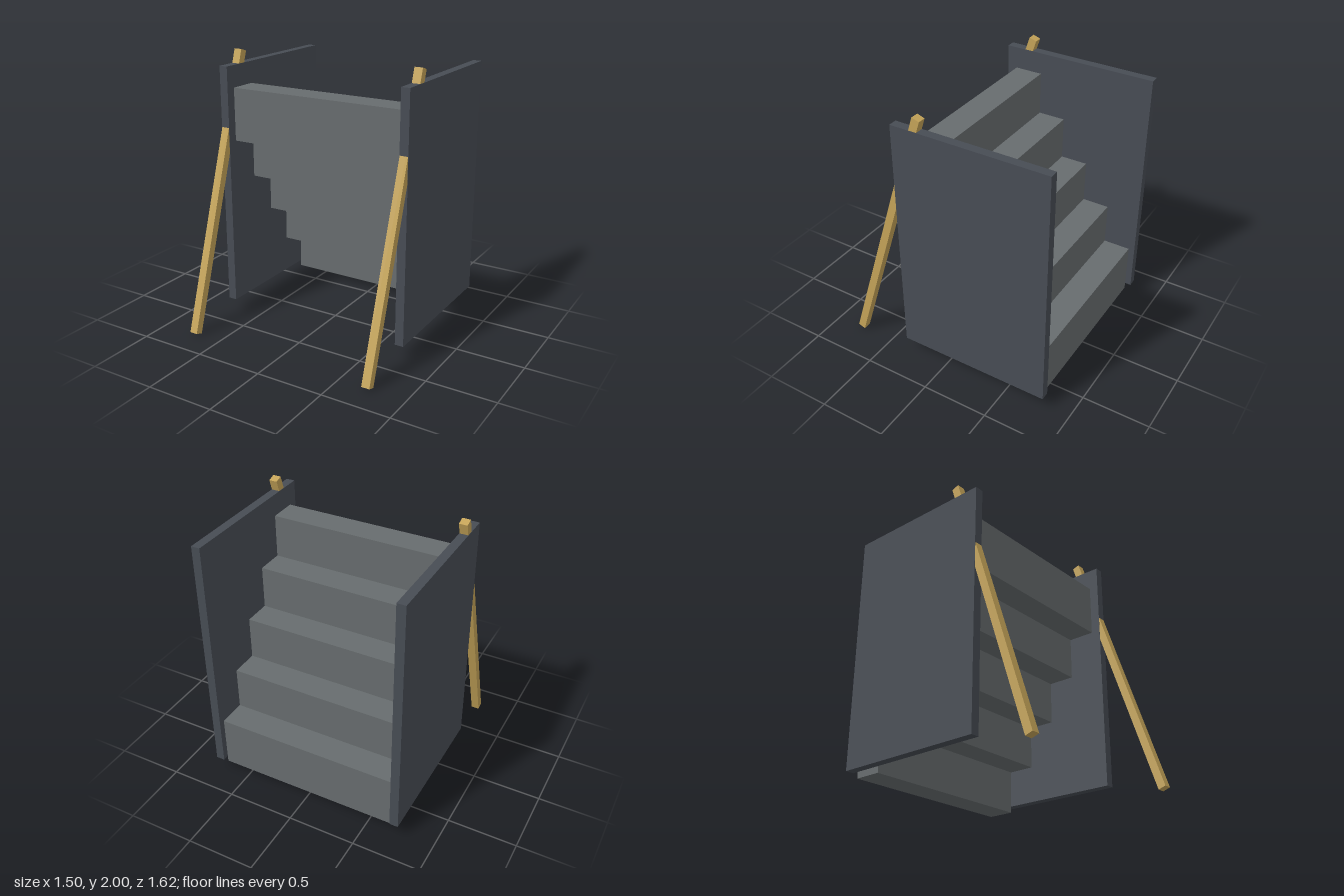
import * as THREE from 'three';

const material = (color) => new THREE.MeshStandardMaterial({ color, flatShading: true });

export function createModel() {
  const group = new THREE.Group();
  const panelMat = material(0x474c54);
  const stepMat = material(0x676c6e);
  const woodMat = material(0xc4a358);

  const addBox = (name, mat, size, position) => {
    const mesh = new THREE.Mesh(new THREE.BoxGeometry(...size), mat);
    mesh.name = name;
    mesh.position.set(...position);
    group.add(mesh);
    return mesh;
  };

  // Side panels with a leaning prop inside each
  for (const [side, s] of [['left', 1], ['right', -1]]) {
    addBox(`${side}Panel`, panelMat, [0.064, 1.795, 1.154], [s * 0.717, 1.0025, -0.235]);
    const prop = addBox(`${side}Prop`, woodMat, [0.06, 2.084, 0.058], [s * 0.717, 1, 0.46]);
    prop.rotation.x = -Math.PI / 10;
  }

  // Steps rise from the back towards the front, each overlapping the next in height
  const depth = 0.207;
  for (let i = 0; i < 5; i++) {
    addBox(`step${i + 1}`, stepMat, [1.37, 0.39, depth],
      [0, 0.253 + i * 0.3225, -0.662 + i * depth]);
  }
  return group;
}
